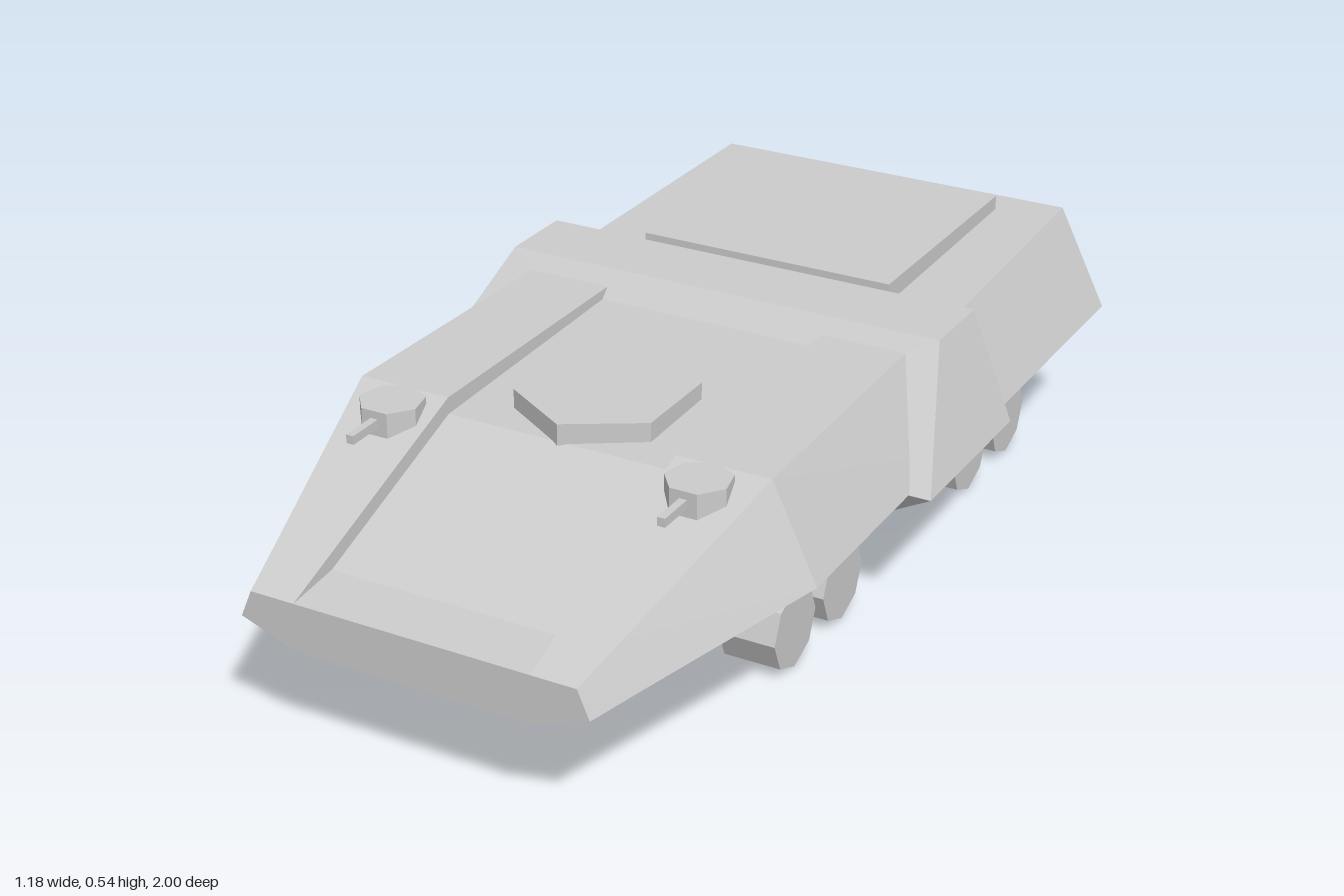
import * as THREE from 'three';

const material = new THREE.MeshStandardMaterial({ color: 0xcccccc, flatShading: true });

// Full mirrored ring from a right-hand profile running top to bottom; a point may carry its own z
function section(z, half) {
  const right = half.map(([x, y, pz]) => new THREE.Vector3(x, y, pz ?? z));
  const left = right.map((p) => new THREE.Vector3(-p.x, p.y, p.z)).reverse();
  return [...right, ...left];
}

// Skin over rings ordered from front to back, capped at both ends
function loft(rings) {
  const positions = [];
  const tri = (...pts) => pts.forEach((p) => positions.push(p.x, p.y, p.z));
  for (let r = 0; r < rings.length - 1; r++) {
    const f = rings[r], b = rings[r + 1];
    f.forEach((p, i) => {
      const n = (i + 1) % f.length;
      tri(p, f[n], b[n]);
      tri(p, b[n], b[i]);
    });
  }
  const cap = (ring, front) => {
    const widest = ring.reduce((a, p) => (p.x > a.x ? p : a));
    const centre = new THREE.Vector3(0, widest.y, widest.z);
    ring.forEach((p, i) => {
      const n = ring[(i + 1) % ring.length];
      if (front) tri(centre, n, p);
      else tri(centre, p, n);
    });
  };
  cap(rings[0], true);
  cap(rings[rings.length - 1], false);
  const geometry = new THREE.BufferGeometry();
  geometry.setAttribute('position', new THREE.Float32BufferAttribute(positions, 3));
  geometry.computeVertexNormals();
  return geometry;
}

export function createModel() {
  const model = new THREE.Group();
  const add = (name, geometry, x = 0, y = 0, z = 0, parent = model) => {
    const mesh = new THREE.Mesh(geometry, material);
    mesh.name = name;
    mesh.position.set(x, y, z);
    parent.add(mesh);
    return mesh;
  };

  // Front hull with a sunken centre deck between two raised side strips
  const frontRing = (z, deckY, topY, topW, beltY, beltW, lowY, lowW) => section(z, [
    [0.25, deckY], [0.25, topY], [topW, topY], [beltW, beltY], [lowW, lowY],
  ]);
  add('frontHull', loft([
    frontRing(1, 0.318, 0.318, 0.345, 0.26, 0.37, 0.217, 0.25),
    frontRing(0.88, 0.329, 0.362, 0.369, 0.272, 0.41, 0.211, 0.264),
    frontRing(0.48, 0.475, 0.51, 0.45, 0.31, 0.545, 0.19, 0.31),
    frontRing(-0.13, 0.49, 0.51, 0.435, 0.312, 0.54, 0.19, 0.31),
    frontRing(-0.25, 0.49, 0.5, 0.43, 0.312, 0.54, 0.19, 0.31),
  ]));

  // Wide collar joining the two hulls, with a wedge-shaped leading face
  add('collar', loft([
    section(0, [[0.495, 0.54, -0.155], [0.588, 0.31, 0.072], [0.3, 0.12, -0.04]]),
    section(-0.325, [[0.495, 0.54], [0.588, 0.31], [0.3, 0.12]]),
  ]));

  // Rear hull
  add('rearHull', loft([
    section(-0.3, [[0.44, 0.497], [0.54, 0.3], [0.34, 0.2]]),
    section(-1, [[0.42, 0.51], [0.53, 0.292], [0.34, 0.2]]),
  ]));

  // Lower chassis tubs with sloped ends: [z, bottom y]
  const tubs = {
    frontChassis: [[0.545, 0.19], [0.37, 0.065], [-0.21, 0.075], [-0.24, 0.14]],
    rearChassis: [[-0.335, 0.19], [-0.41, 0.06], [-0.94, 0.06], [-0.998, 0.195]],
  };
  for (const [name, profile] of Object.entries(tubs)) {
    add(name, loft(profile.map(([z, y]) => section(z, [
      [0.306, 0.21], [0.306 - (0.2 - y) * 0.12, y],
    ]))));
  }

  // Raised rear roof panel
  add('rearRoofPanel', new THREE.BoxGeometry(0.58, 0.05, 0.565), 0, 0.515, -0.64);

  // Five-sided hatch pointing forward
  const hatchShape = new THREE.Shape([
    [-0.152, -0.2], [-0.152, -0.4], [0, -0.49], [0.152, -0.4], [0.152, -0.2],
  ].map(([x, y]) => new THREE.Vector2(x, y)));
  const hatch = new THREE.ExtrudeGeometry(hatchShape, { depth: 0.045, bevelEnabled: false });
  hatch.rotateX(-Math.PI / 2);
  add('frontHatch', hatch, 0, 0.472, 0);

  // Small gun turrets on the nose slope
  const turretGeometry = new THREE.CylinderGeometry(0.066, 0.066, 0.06, 7).rotateY(Math.PI);
  const barrelGeometry = new THREE.BoxGeometry(0.016, 0.018, 0.1);
  // Eight-sided wheels
  const wheelGeometry = new THREE.CylinderGeometry(0.088, 0.088, 0.122, 8).rotateZ(Math.PI / 2);

  for (const [side, s] of [['left', 1], ['right', -1]]) {
    const gun = new THREE.Group();
    gun.name = side + 'Gun';
    model.add(gun);
    add('turret', turretGeometry, s * 0.335, 0.485, 0.547, gun);
    add('barrel', barrelGeometry, s * 0.335, 0.49, 0.637, gun);

    [0.29, 0.08, -0.557, -0.767].forEach((z, i) => {
      add(side + 'Wheel' + (i + 1), wheelGeometry, s * 0.348, 0.088, z);
    });
  }
  return model;
}
